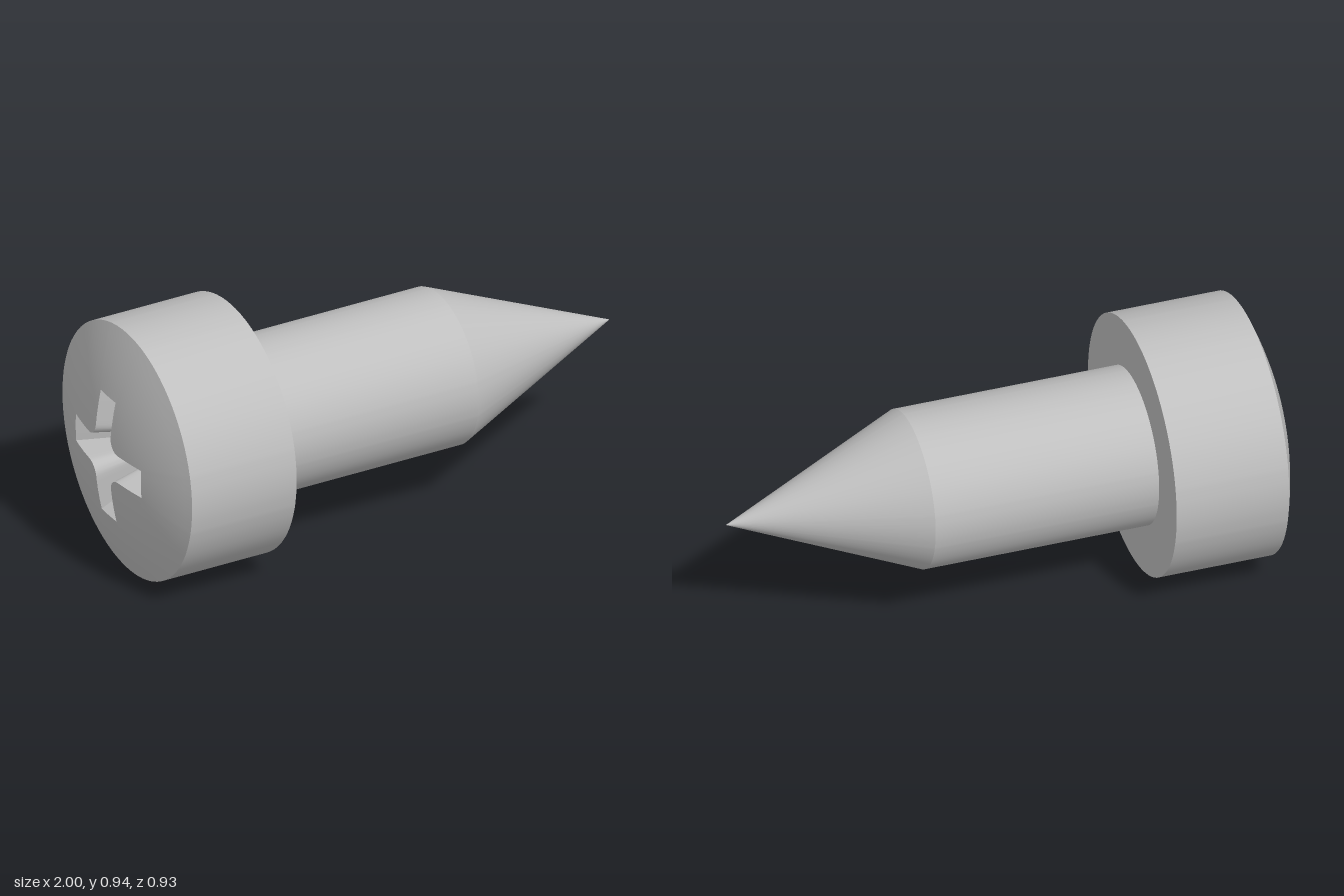
import * as THREE from 'three';
import { toCreasedNormals } from 'three/addons/utils/BufferGeometryUtils.js';

const HEAD_R = 0.467, SHANK_R = 0.283;
const ARM = 0.235, HALF = 0.053, FILLET = 0.05; // cross recess: arm length, half width, inner fillet

// angles of one eighth turn, including the arm corner and the fillet start, mirrored to a full turn
const corner = Math.atan2(HALF, ARM), filletStart = Math.atan2(HALF, HALF + FILLET);
const D = Math.PI / 180;
const eighth = [0, 4 * D, 8 * D, corner, 15 * D, 19 * D, 23 * D, filletStart, 31 * D, 35 * D, 40 * D];
const quarter = [...eighth, 45 * D, ...eighth.slice(1).reverse().map(a => 90 * D - a)];
const angles = [0, 1, 2, 3].flatMap(q => quarter.map(a => a + q * 90 * D));

// radius of the cross outline at an angle
function crossRadius(a) {
  const q = a % (Math.PI / 2);
  const t = Math.min(q, Math.PI / 2 - q);
  if (t <= corner + 1e-6) return ARM / Math.cos(t);
  if (t <= filletStart) return HALF / Math.sin(t);
  const c = HALF + FILLET, s = c * (Math.cos(t) + Math.sin(t));
  return s - Math.sqrt(s * s - 2 * c * c + FILLET * FILLET);
}

const domeX = r => -1 + 0.1 * (r / HEAD_R) ** 2;

// skin around the x axis; each ring maps an angle to [x, radius]
function loft(rings) {
  const n = angles.length, pos = [], index = [];
  for (const ring of rings) {
    for (const a of angles) {
      const [x, r] = ring(a);
      pos.push(x, r * Math.cos(a), r * Math.sin(a));
    }
  }
  for (let i = 0; i < rings.length - 1; i++) {
    for (let j = 0; j < n; j++) {
      const k = (j + 1) % n;
      const a = i * n + j, b = a + n, c = i * n + k, d = c + n;
      if (rings[i](0)[1] > 0) index.push(a, c, b);
      if (rings[i + 1](0)[1] > 0) index.push(c, d, b);
    }
  }
  const g = new THREE.BufferGeometry();
  g.setAttribute('position', new THREE.Float32BufferAttribute(pos, 3));
  g.setIndex(index);
  g.computeVertexNormals();
  return g;
}

const ring = (x, r) => () => [x, r];

export function createModel() {
  const steel = new THREE.MeshStandardMaterial({ color: 0xbfbfbf });
  steel.name = 'steel grey';
  const screw = new THREE.Group();
  screw.name = 'screw';
  const add = (name, geometry) => {
    const mesh = new THREE.Mesh(geometry, steel);
    mesh.name = name;
    screw.add(mesh);
  };

  // domed face running from the cross outline to the rim
  const domeRings = [];
  for (let i = 0; i <= 8; i++) {
    domeRings.push(a => {
      const r = THREE.MathUtils.lerp(crossRadius(a), HEAD_R, i / 8);
      return [domeX(r), r];
    });
  }
  add('headDome', loft(domeRings));

  // tapered cross recess
  add('crossRecess', toCreasedNormals(loft([
    ring(-0.8, 0),
    a => [-0.82, crossRadius(a) * 0.6],
    a => [domeX(crossRadius(a)), crossRadius(a)],
  ]), 0.5));

  add('headSide', loft([ring(-0.9, HEAD_R), ring(-0.488, HEAD_R)]));
  add('headUnderside', loft([ring(-0.488, HEAD_R), ring(-0.488, SHANK_R)]));
  add('shank', loft([ring(-0.488, SHANK_R), ring(0.33, SHANK_R)]));
  add('point', loft([ring(0.33, SHANK_R), ring(0.66, SHANK_R * 0.34 / 0.67), ring(1, 0)]));

  // the axis rises very slightly towards the point
  screw.rotation.z = 0.008;
  screw.position.y = 0.476;
  const model = new THREE.Group();
  model.name = 'model';
  model.add(screw);
  return model;
}
